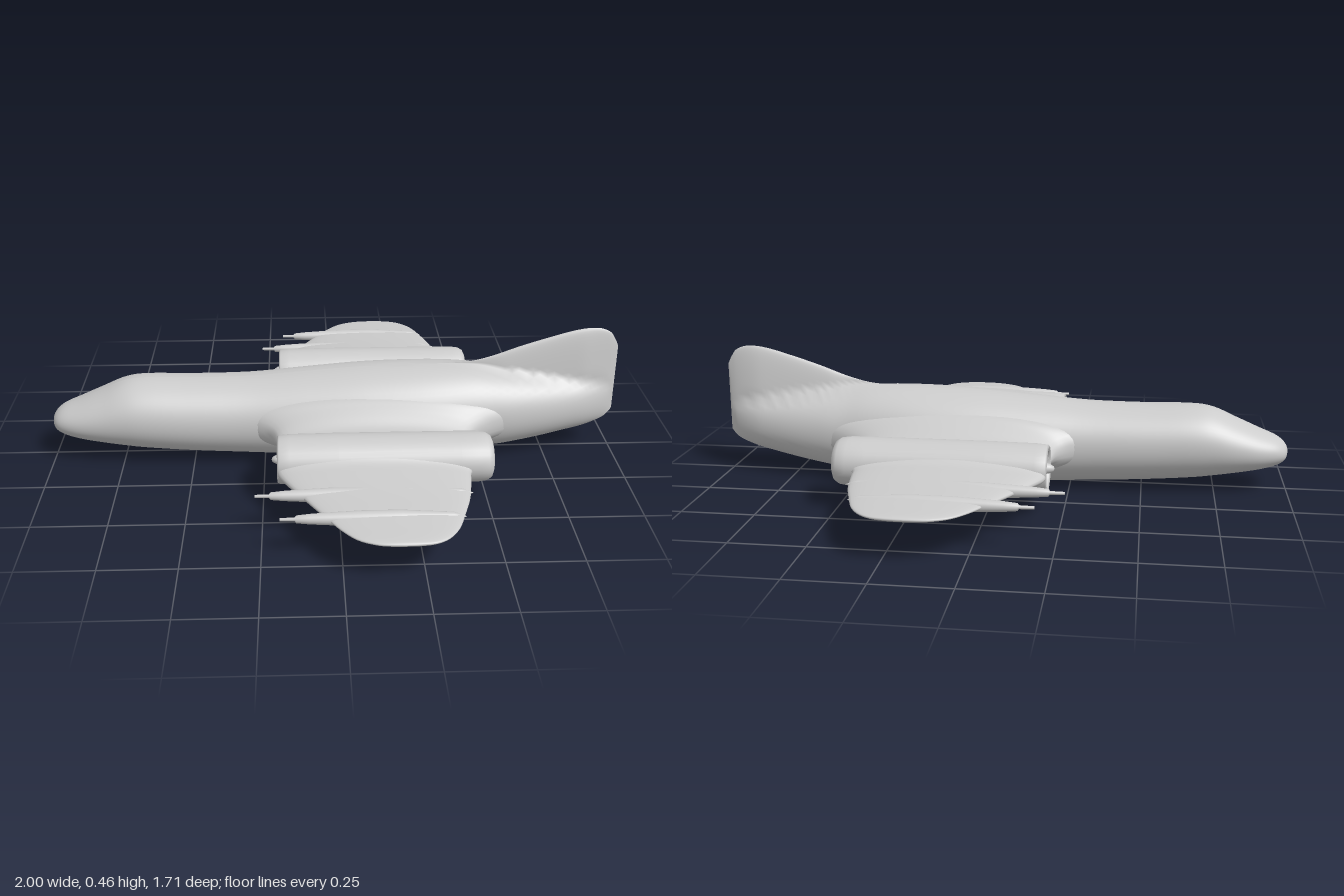
import * as THREE from 'three';

const material = new THREE.MeshStandardMaterial({ color: 0xcccccc, side: THREE.DoubleSide });

// Catmull-Rom interpolation between table rows
function refine(rows, steps) {
  const out = [];
  const at = i => rows[Math.max(0, Math.min(rows.length - 1, i))];
  for (let i = 0; i < rows.length - 1; i++) {
    const [a, b, c, d] = [at(i - 1), at(i), at(i + 1), at(i + 2)];
    for (let k = 0; k < steps; k++) {
      const t = k / steps;
      out.push(b.map((p, n) => {
        const linear = c[n] - a[n];
        const square = 2 * a[n] - 5 * p + 4 * c[n] - d[n];
        const cube = 3 * (p - c[n]) + d[n] - a[n];
        return p + 0.5 * t * (linear + t * (square + t * cube));
      }));
    }
  }
  out.push(rows[rows.length - 1]);
  return out;
}

// Skin over closed rings that all have the same point count
function loft(name, rings, flip = false) {
  const n = rings[0].length, index = [];
  for (let i = 0; i < rings.length - 1; i++) {
    for (let j = 0; j < n; j++) {
      const a = i * n + j, b = i * n + (j + 1) % n, c = a + n, d = b + n;
      if (flip) index.push(a, b, c, b, d, c);
      else index.push(a, c, b, b, c, d);
    }
  }
  const geometry = new THREE.BufferGeometry();
  geometry.setAttribute('position', new THREE.Float32BufferAttribute(rings.flat(2), 3));
  geometry.setIndex(index);
  geometry.computeVertexNormals();
  const mesh = new THREE.Mesh(geometry, material);
  mesh.name = name;
  return mesh;
}

// Turned part whose axis runs along x; profile points are [radius, x]
function turned(name, profile, y, z, widen = 1) {
  const points = profile.map(([r, x]) => new THREE.Vector2(r, x));
  const mesh = new THREE.Mesh(new THREE.LatheGeometry(points, 32), material);
  mesh.name = name;
  mesh.rotation.z = -Math.PI / 2;
  mesh.scale.z = widen;
  mesh.position.set(0, y, z);
  return mesh;
}

// Body stations: x, half width, bottom, body top, top including the fin
const bodyRows = [
  [-1, 0, 0.14, 0.14, 0.14],
  [-0.99, 0.045, 0.11, 0.165, 0.165],
  [-0.96, 0.076, 0.09, 0.19, 0.19],
  [-0.9, 0.102, 0.073, 0.215, 0.215],
  [-0.82, 0.122, 0.058, 0.25, 0.25],
  [-0.74, 0.135, 0.045, 0.284, 0.284],
  [-0.66, 0.142, 0.035, 0.294, 0.294],
  [-0.5, 0.146, 0.022, 0.291, 0.291],
  [-0.3, 0.15, 0.011, 0.294, 0.294],
  [-0.1, 0.165, 0.003, 0.31, 0.31],
  [0.1, 0.178, 0, 0.325, 0.325],
  [0.3, 0.175, 0.004, 0.331, 0.331],
  [0.45, 0.158, 0.012, 0.328, 0.334],
  [0.55, 0.14, 0.024, 0.315, 0.356],
  [0.65, 0.122, 0.04, 0.3, 0.392],
  [0.75, 0.1, 0.06, 0.285, 0.424],
  [0.85, 0.072, 0.084, 0.27, 0.452],
  [0.92, 0.046, 0.103, 0.26, 0.459],
  [0.965, 0.024, 0.12, 0.25, 0.445],
  [0.985, 0.01, 0.135, 0.245, 0.42],
  [1, 0, 0.15, 0.24, 0.39],
];

function bodyRing([x, w, bottom, top, finTop]) {
  const side = [], n = 28, middle = (bottom + top) / 2;
  const rise = Math.min(1, Math.max(0, (finTop - top) / 0.06));
  const finScale = rise * Math.sqrt(Math.min(1, Math.max(0, (1 - x) / 0.12)));
  for (let i = 0; i <= n; i++) {
    const y = bottom + (finTop - bottom) * (1 - Math.cos(Math.PI * i / n)) / 2;
    const v = Math.min(1, Math.abs(y - middle) / Math.max(1e-6, (top - bottom) / 2));
    const body = Math.max(0, w) * Math.sqrt(1 - Math.pow(v, 2.1));
    const fin = finScale * 0.033 * Math.sqrt(Math.min(1, Math.max(0, (finTop - y) / 0.16)));
    side.push([x, y, Math.hypot(body, fin)]);
  }
  return [...side, ...side.slice().reverse().map(([px, py, pz]) => [px, py, -pz])];
}

// Wing stations: z, leading edge x, trailing edge x, bottom, top
const innerRows = [
  [0.1, -0.34, 0.66, 0.045, 0.27],
  [0.14, -0.29, 0.58, 0.05, 0.265],
  [0.17, -0.24, 0.52, 0.055, 0.25],
  [0.2, -0.215, 0.475, 0.068, 0.232],
  [0.24, -0.203, 0.45, 0.088, 0.207],
  [0.275, -0.2, 0.45, 0.095, 0.203],
];
const outerRows = [
  [0.425, -0.2, 0.45, 0.099, 0.198],
  [0.45, -0.195, 0.43, 0.104, 0.183],
  [0.5, -0.17, 0.422, 0.11, 0.176],
  [0.6, -0.11, 0.405, 0.117, 0.166],
  [0.7, -0.05, 0.375, 0.123, 0.159],
  [0.77, -0.005, 0.35, 0.126, 0.153],
  [0.82, 0.04, 0.315, 0.128, 0.149],
  [0.845, 0.09, 0.275, 0.13, 0.146],
  [0.853, 0.13, 0.23, 0.134, 0.142],
  [0.855, 0.18, 0.181, 0.138, 0.138],
];

function wingRing([z, front, back, bottom, top], s) {
  const ring = [], n = 48;
  for (let i = 0; i < n; i++) {
    const a = 2 * Math.PI * i / n, sin = Math.sin(a);
    const x = (front + back) / 2 - Math.cos(a) * (back - front) / 2;
    const y = (top + bottom) / 2 + Math.sign(sin) * Math.pow(Math.abs(sin), 0.8) * (top - bottom) / 2;
    ring.push([x, y, z * s]);
  }
  return ring;
}

// Gun: thin barrel, sleeve and a fairing running back through the wing
const gunProfile = (tip, tail) => [
  [0, tip], [0.005, tip], [0.006, tip + 0.045], [0.012, tip + 0.05],
  [0.016, tip + 0.09], [0.019, tip + 0.14], [0.024, tip + 0.25],
  [0.024, tail - 0.2], [0.015, tail - 0.04], [0, tail],
];

// Engine: open intake, outer shell and rounded rear, with a bullet inside
const nacelleProfile = [
  [0, -0.05], [0.06, -0.05], [0.062, -0.16], [0.067, -0.195], [0.072, -0.201],
  [0.077, -0.195], [0.08, -0.16], [0.082, 0], [0.082, 0.4], [0.081, 0.46],
  [0.077, 0.49], [0.068, 0.505], [0.055, 0.511], [0, 0.512],
];
const bulletProfile = [[0, -0.22], [0.008, -0.217], [0.015, -0.205], [0.023, -0.17], [0.028, -0.12], [0.03, -0.05]];

export function createModel() {
  const model = new THREE.Group();
  model.name = 'aircraft';
  model.add(loft('fuselageAndFin', refine(bodyRows, 4).map(bodyRing)));

  for (const s of [1, -1]) {
    const wing = new THREE.Group();
    wing.name = s > 0 ? 'frontFacingWing' : 'rearFacingWing';
    wing.add(
      loft('innerWing', refine(innerRows, 4).map(r => wingRing(r, s)), s < 0),
      loft('outerWing', refine(outerRows, 4).map(r => wingRing(r, s)), s < 0),
      turned('engineNacelle', nacelleProfile, 0.151, 0.35 * s, 1.16),
      turned('intakeBullet', bulletProfile, 0.151, 0.35 * s),
      turned('innerGun', gunProfile(-0.27, 0.42), 0.144, 0.572 * s),
      turned('outerGun', gunProfile(-0.19, 0.38), 0.141, 0.705 * s),
    );
    model.add(wing);
  }
  return model;
}
